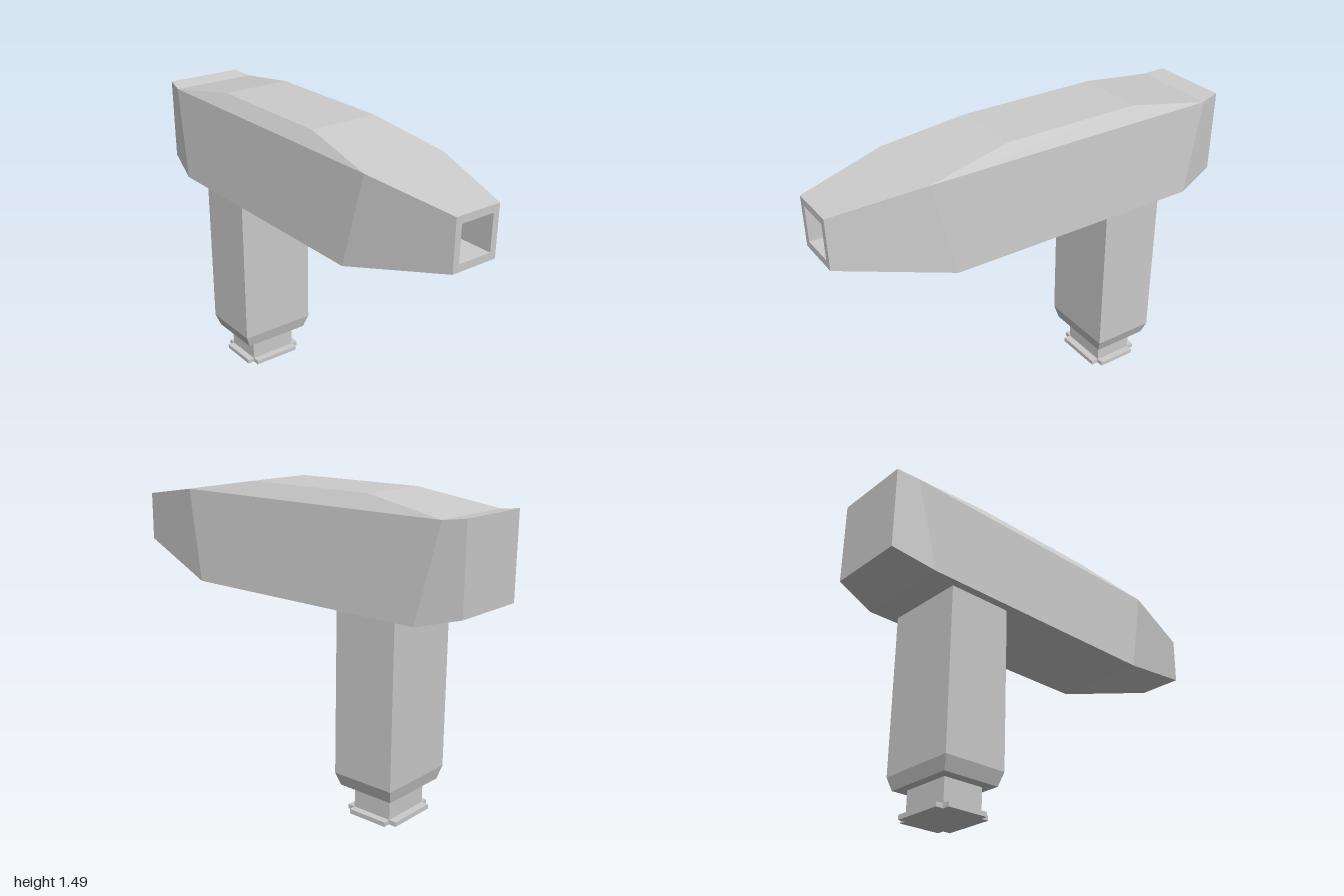
import * as THREE from 'three';

const material = new THREE.MeshStandardMaterial({ color: 0xcccccc, flatShading: true });

// Skin a list of equal-length rings with flat faces and close both ends.
function loft(rings) {
  const pos = [];
  const tri = (a, b, c) => {
    const t = new THREE.Triangle(...[a, b, c].map(p => new THREE.Vector3(...p)));
    if (t.getArea() > 1e-7) pos.push(...a, ...b, ...c);
  };
  const n = rings[0].length;
  for (let i = 0; i < rings.length - 1; i++) {
    const r = rings[i], s = rings[i + 1];
    for (let j = 0; j < n; j++) {
      const k = (j + 1) % n;
      tri(r[j], s[j], s[k]);
      tri(r[j], s[k], r[k]);
    }
  }
  const first = rings[0], last = rings[rings.length - 1];
  for (let j = 1; j < n - 1; j++) {
    tri(first[0], first[j], first[j + 1]);
    tri(last[0], last[j + 1], last[j]);
  }
  const g = new THREE.BufferGeometry();
  g.setAttribute('position', new THREE.Float32BufferAttribute(pos, 3));
  g.computeVertexNormals();
  return g;
}

function part(name, geometry, parent) {
  const mesh = new THREE.Mesh(geometry, material);
  mesh.name = name;
  parent.add(mesh);
  return mesh;
}

// Mirrored head section from bottom, shoulder and top points [x, y, halfWidth].
function section(bottom, shoulder, top = shoulder) {
  const at = ([x, y, z], side) => [x, y, z * side];
  return [at(bottom, -1), at(bottom, 1), at(shoulder, 1), at(top, 1), at(top, -1), at(shoulder, -1)];
}

// Horizontal rectangle for the shaft.
const rect = (y, hx, hz) => [[hx, y, hz], [-hx, y, hz], [-hx, y, -hz], [hx, y, -hz]];

export function createModel() {
  const model = new THREE.Group();
  model.name = 'blockHeadedTool';

  // Faceted head: blunt rear, chamfered top, tapered nose with a square bore
  const rearLow = [-0.8, 0.98, 0.24], rearShoulder = [-0.9, 1.42, 0.215];
  const noseLow = [0.48, 0.98, 0.24], noseShoulder = [0.58, 1.42, 0.215];
  part('head', loft([
    section([-1, 1.035, 0.193], [-1, 1.433, 0.193]),
    section(rearLow, rearShoulder),
    section(rearLow, rearShoulder, [-0.5, 1.485, 0.172]),
    section(noseLow, noseShoulder, [0.18, 1.485, 0.172]),
    section(noseLow, noseShoulder),
    section([1, 1.115, 0.116], [1, 1.355, 0.116]),
    section([1, 1.15, 0.085], [1, 1.32, 0.085]),
    section([0.5, 1.15, 0.085], [0.5, 1.32, 0.085]),
  ]), model);

  // Square handle with a bevelled lower end
  const handle = new THREE.Group();
  handle.name = 'handle';
  handle.position.x = -0.517;
  model.add(handle);
  part('shaft', loft([rect(0.137, 0.143, 0.176), rect(0.2, 0.158, 0.2), rect(0.982, 0.158, 0.2)]), handle);

  // Narrow neck
  const neckX = 0.101, neckZ = 0.125, footH = 0.022;
  part('neck', new THREE.BoxGeometry(neckX * 2, 0.14 - footH, neckZ * 2), handle)
    .position.y = (0.14 + footH) / 2;

  // Foot plate with notched corners
  const footX = 0.138, footZ = 0.16;
  const corners = [[footX, neckZ], [neckX, neckZ], [neckX, footZ]];
  const outline = [
    ...corners,
    ...corners.map(([x, z]) => [-x, z]).reverse(),
    ...corners.map(([x, z]) => [-x, -z]),
    ...corners.map(([x, z]) => [x, -z]).reverse(),
  ].map(p => new THREE.Vector2(...p));
  const foot = new THREE.ExtrudeGeometry(new THREE.Shape(outline), { depth: footH, bevelEnabled: false });
  foot.rotateX(-Math.PI / 2);
  part('footPlate', foot, handle);

  return model;
}
